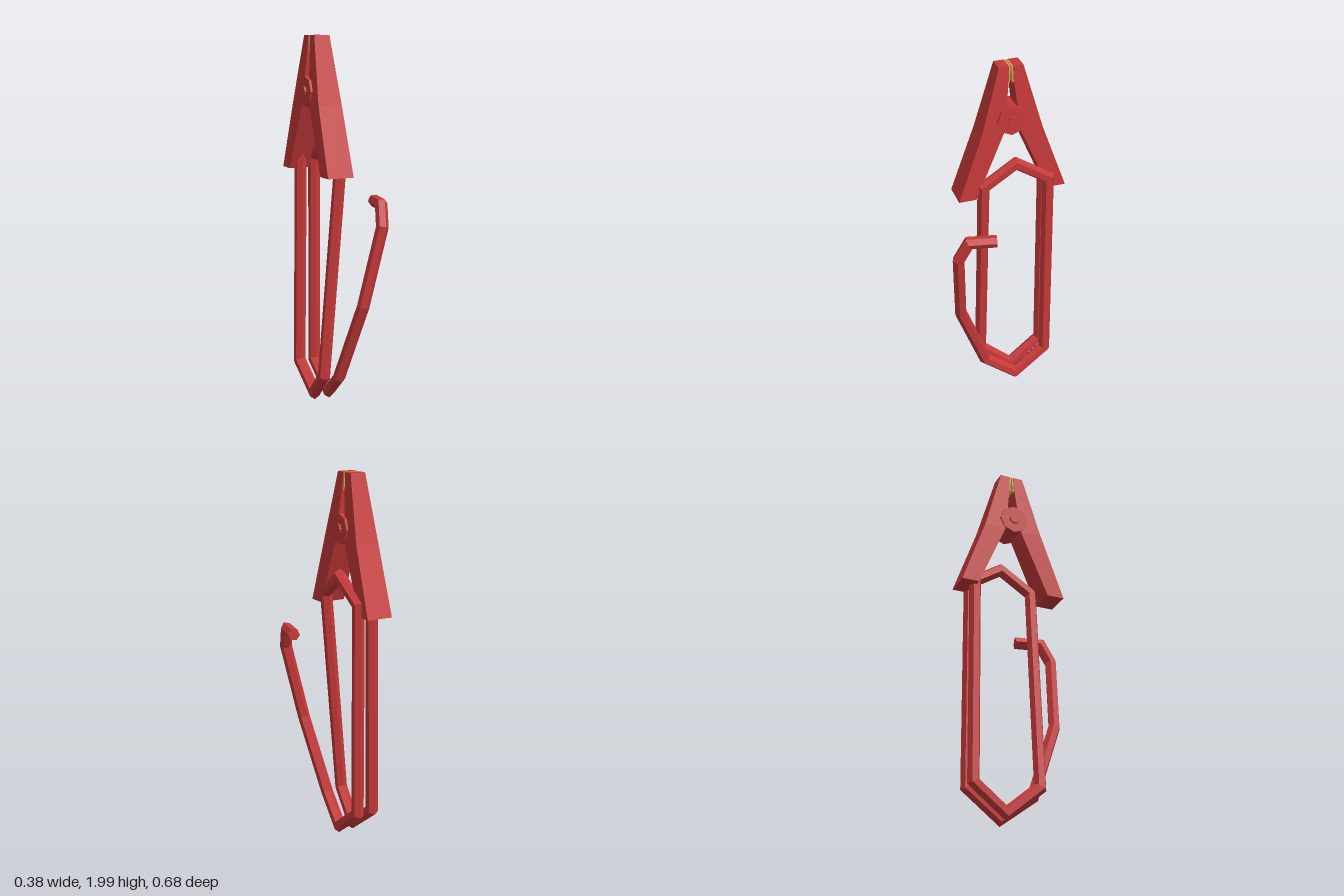
import * as THREE from 'three';

const red = new THREE.MeshStandardMaterial({ color: 0xc63939 });
red.name = 'red plastic';
const brass = new THREE.MeshStandardMaterial({ color: 0xd6a552 });
brass.name = 'brass';

const V = (x, y, z) => new THREE.Vector3(x, y, z);

// Closed, flat-faced skin over a list of equal-sized rings
function loft(rings) {
  const pos = [];
  const tri = (...p) => p.forEach((v) => pos.push(v.x, v.y, v.z));
  const n = rings[0].length;
  for (let i = 0; i < rings.length - 1; i++) {
    for (let j = 0; j < n; j++) {
      const k = (j + 1) % n;
      const [a, b, c, d] = [rings[i][j], rings[i][k], rings[i + 1][k], rings[i + 1][j]];
      tri(a, b, c);
      tri(a, c, d);
    }
  }
  const first = rings[0], last = rings[rings.length - 1];
  for (let j = 1; j < n - 1; j++) {
    tri(first[0], first[j + 1], first[j]);
    tri(last[0], last[j], last[j + 1]);
  }
  const g = new THREE.BufferGeometry();
  g.setAttribute('position', new THREE.Float32BufferAttribute(pos, 3));
  g.computeVertexNormals();
  return g;
}

// Hexagonal bar swept along a polyline with mitred corners (first leg runs down)
function mitredBar(path, radius) {
  const dirs = path.slice(1).map((p, i) => p.clone().sub(path[i]).normalize());
  let ring = [];
  for (let j = 0; j < 6; j++) {
    const a = (j * Math.PI) / 3 + Math.PI / 2;
    ring.push(V(Math.cos(a) * radius, 0, Math.sin(a) * radius).add(path[0]));
  }
  const rings = [ring];
  for (let i = 1; i < path.length; i++) {
    const d = dirs[i - 1];
    const normal = d.clone().add(dirs[i] ?? d).normalize();
    ring = ring.map((p) => {
      const t = path[i].clone().sub(p).dot(normal) / d.dot(normal);
      return p.clone().addScaledVector(d, t);
    });
    rings.push(ring);
  }
  return loft(rings);
}

function add(parent, name, geometry, material) {
  const m = new THREE.Mesh(geometry, material);
  m.name = name;
  parent.add(m);
  return m;
}

export function createModel() {
  const model = new THREE.Group();
  model.name = 'clampWithCable';

  // Clamp: two mirrored tapering arms, each with a brass jaw plate
  const clamp = new THREE.Group();
  clamp.name = 'clamp';
  clamp.position.set(-0.107, 0, -0.045);
  model.add(clamp);

  // height, half width, inner offset, outer offset
  const sections = [
    [2.0, 0.043, 0.01, 0.065],
    [1.91, 0.049, 0.015, 0.09],
    [1.645, 0.066, 0.045, 0.165],
    [1.28, 0.0725, 0.2, 0.295],
  ];
  const armGeometry = loft(sections.map(([y, w, zi, zo]) =>
    [V(w, y, zi), V(w, y, zo), V(-w, y, zo), V(-w, y, zi)]));
  const jawGeometry = loft([[2.0, 0.002, 0.0102], [1.91, 0.007, 0.0152]].map(([y, zi, zo]) =>
    [V(0.042, y, zi), V(0.042, y, zo), V(-0.042, y, zo), V(-0.042, y, zi)]));
  ['front', 'back'].forEach((side, i) => {
    const half = new THREE.Group();
    half.name = side + 'Half';
    half.rotation.y = i * Math.PI;
    clamp.add(half);
    add(half, side + 'Arm', armGeometry, red);
    add(half, side + 'JawPlate', jawGeometry, brass);
  });

  // Pivot: octagonal hub with a smaller pin through it
  const axle = (name, radius, length) => {
    const g = new THREE.CylinderGeometry(radius, radius, length, 8).toNonIndexed();
    g.computeVertexNormals();
    const m = add(clamp, name, g, red);
    m.rotation.z = Math.PI / 2;
    m.position.set(0, 1.71, 0.003);
  };
  axle('pivotHub', 0.08, 0.146);
  axle('pivotPin', 0.028, 0.168);

  // Cable: down the back, one full loop, then a curling tail
  const cable = [
    V(-0.115, 1.42, -0.243),
    V(-0.13, 0.19, -0.243),
    V(-0.12, 0.052, -0.06),
    V(-0.142, 0.2, 0.113),
    V(-0.045, 1.34, 0.113),
    V(-0.03, 1.462, -0.06),
    V(-0.036, 1.34, -0.243),
    V(-0.04, 0.185, -0.243),
    V(-0.033, 0.048, -0.06),
    V(-0.053, 0.18, 0.115),
    V(0.012, 0.6, 0.272),
    V(0.105, 1.02, 0.303),
    V(0.125, 1.13, 0.25),
    V(0.155, 1.13, 0.108),
  ];
  add(model, 'cable', mitredBar(cable, 0.033), red);

  return model;
}
